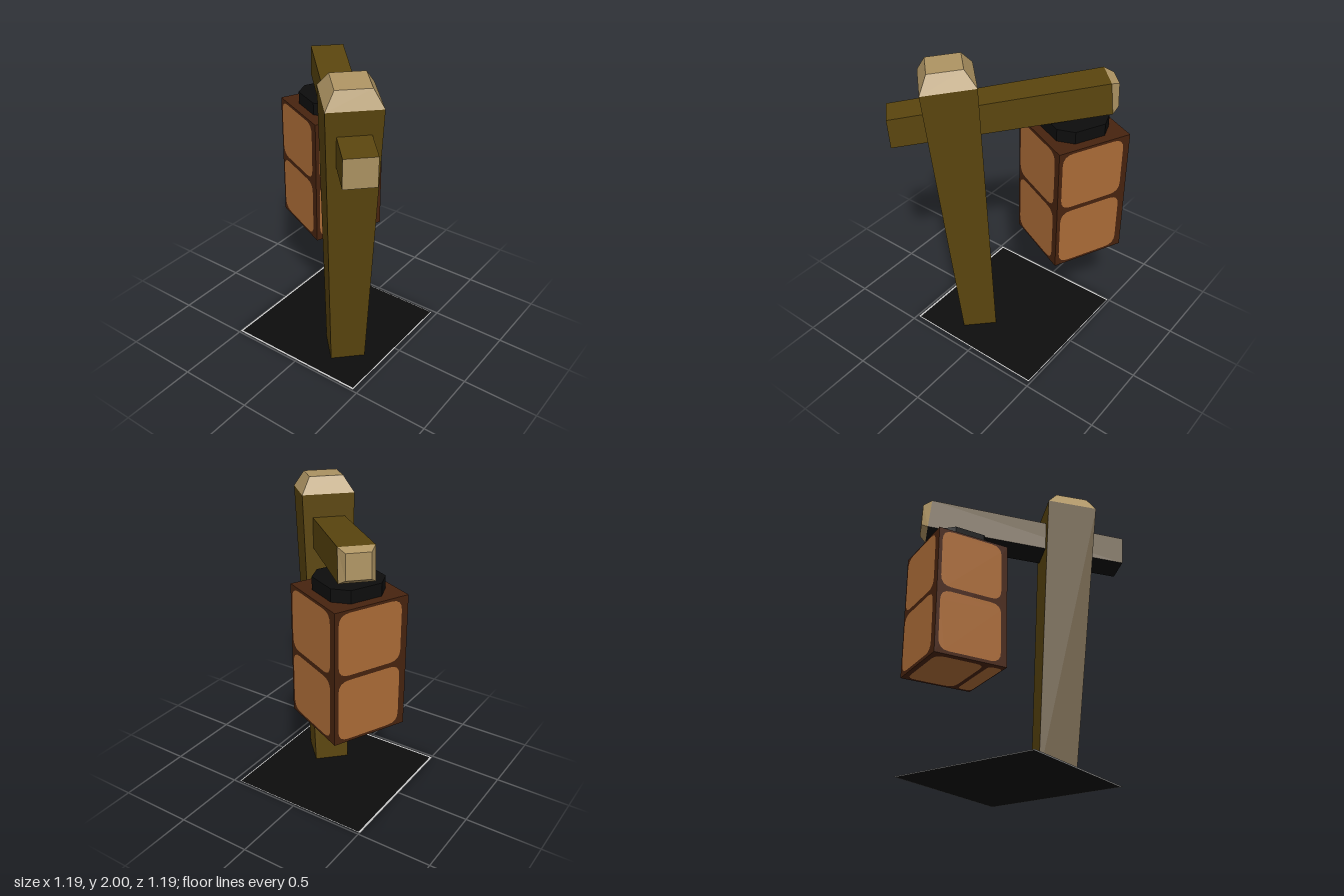
import * as THREE from 'three';

const mat = (name, color, side = THREE.FrontSide) => {
  const m = new THREE.MeshStandardMaterial({ color, side });
  m.name = name;
  return m;
};

// Flat-shaded mesh from a list of four-cornered faces
function facets(name, quads, material) {
  const pos = [];
  for (const [a, b, c, d] of quads) pos.push(...a, ...b, ...c, ...a, ...c, ...d);
  const g = new THREE.BufferGeometry();
  g.setAttribute('position', new THREE.Float32BufferAttribute(pos, 3));
  g.computeVertexNormals();
  const mesh = new THREE.Mesh(g, material);
  mesh.name = name;
  return mesh;
}

// Four side faces joining two four-cornered rings
const band = (lo, hi) => lo.map((p, i) => {
  const j = (i + 1) % 4;
  return [p, lo[j], hi[j], hi[i]];
});

// Post ring: a diamond on the diagonal, lower on its outward side
const diamond = (c, r, yOut, yIn) => [
  [-c - r, yOut, c], [-c, yOut, c + r], [-c + r, yIn, c], [-c, yIn, c - r],
];

// Beam ring across the diagonal: bottom and top edges with half width w
function beamRing(cBottom, cTop, w, yBottom, yTop) {
  const k = w * Math.SQRT1_2;
  return [
    [cBottom + k, yBottom, -cBottom + k], [cBottom - k, yBottom, -cBottom - k],
    [cTop - k, yTop, -cTop - k], [cTop + k, yTop, -cTop + k],
  ];
}

function roundedRect(x0, y0, x1, y1, r) {
  const s = new THREE.Shape();
  s.moveTo(x0 + r, y0);
  s.lineTo(x1 - r, y0).quadraticCurveTo(x1, y0, x1, y0 + r);
  s.lineTo(x1, y1 - r).quadraticCurveTo(x1, y1, x1 - r, y1);
  s.lineTo(x0 + r, y1).quadraticCurveTo(x0, y1, x0, y1 - r);
  s.lineTo(x0, y0 + r).quadraticCurveTo(x0, y0, x0 + r, y0);
  return s;
}

const rect = (T, x0, y0, x1, y1) => new T([[x0, y0], [x1, y0], [x1, y1], [x0, y1]]
  .map(([x, y]) => new THREE.Vector2(x, y)));

export function createModel() {
  const wood = mat('dark wood', 0x5a450e);
  const cutWood = mat('cut wood', 0xae9463);
  const frame = mat('lantern frame', 0x47230f);
  const paper = mat('lantern panel', 0xac6c37);
  const black = mat('black', 0x0d0d0d, THREE.DoubleSide);
  const grey = mat('pale edge', 0xc8c8c8, THREE.DoubleSide);

  const model = new THREE.Group();
  const add = (parent, name, geometry, material) => {
    const mesh = new THREE.Mesh(geometry, material);
    mesh.name = name;
    parent.add(mesh);
    return mesh;
  };

  // Ground sheet with a thin pale border
  const inner = [-0.475, -0.455, 0.48, 0.49];
  const border = rect(THREE.Shape, -0.49, -0.465, 0.487, 0.505);
  border.holes.push(rect(THREE.Path, ...inner));
  add(model, 'groundSheet', new THREE.ShapeGeometry(rect(THREE.Shape, ...inner)), black).rotation.x = -Math.PI / 2;
  add(model, 'groundBorder', new THREE.ShapeGeometry(border), grey).rotation.x = -Math.PI / 2;

  // Leaning post, widening upwards, with a bevelled cap
  const foot = diamond(0.175, 0.16, 0, 0);
  const shoulder = diamond(0.272, 0.233, 1.877, 1.905);
  const crown = diamond(0.28, 0.15, 1.983, 2);
  model.add(facets('post', band(foot, shoulder), wood));
  model.add(facets('postCap', [...band(shoulder, crown), crown], cutWood));

  // Rising beam through the post, with a dark underside
  const tail = beamRing(-0.52, -0.528, 0.098, 1.51, 1.7);
  const head = beamRing(0.412, 0.397, 0.106, 1.645, 1.85);
  const tip = beamRing(0.441, 0.437, 0.072, 1.675, 1.83);
  const [under, ...sides] = band(tail, head);
  model.add(facets('beam', sides, wood));
  model.add(facets('beamUnderside', [under], black));
  model.add(facets('beamTip', [...band(head, tip), tip], cutWood));
  model.add(facets('beamTail', [[...tail].reverse()], cutWood));

  // Hanging lantern
  const lantern = new THREE.Group();
  lantern.name = 'lantern';
  lantern.position.set(0.265, 0, -0.265);
  lantern.rotation.y = -0.432;
  model.add(lantern);
  const half = 0.245;
  add(lantern, 'lanternBody', new THREE.BoxGeometry(half * 2, 0.85, half * 2), frame).position.y = 1.095;

  // Two panels on each side
  for (let k = 0; k < 4; k++) {
    const side = new THREE.Group();
    side.name = 'lanternSide';
    side.rotation.y = k * Math.PI / 2;
    for (const [y0, y1] of [[0.69, 1.085], [1.115, 1.505]]) {
      add(side, 'sidePanel', new THREE.ShapeGeometry(roundedRect(-0.222, y0, 0.2, y1, 0.07), 4), paper).position.z = half + 0.003;
    }
    lantern.add(side);
  }

  // Panels underneath
  for (const [z0, z1, r] of [[-0.215, 0.11, 0.06], [0.14, 0.235, 0.03]]) {
    const p = add(lantern, 'bottomPanel', new THREE.ShapeGeometry(roundedRect(-0.21, z0, 0.215, z1, r), 4), paper);
    p.rotation.x = Math.PI / 2;
    p.position.y = 0.667;
  }

  // Eight-sided collar on top
  const a = 0.184, b = 0.103;
  const collar = new THREE.Shape([[a, -b], [a, b], [b, a], [-b, a], [-a, b], [-a, -b], [-b, -a], [b, -a]]
    .map(([x, y]) => new THREE.Vector2(x, y)));
  const top = add(lantern, 'collar', new THREE.ExtrudeGeometry(collar, { depth: 0.08, bevelEnabled: false }), black);
  top.rotation.x = -Math.PI / 2;
  top.position.y = 1.52;

  return model;
}
